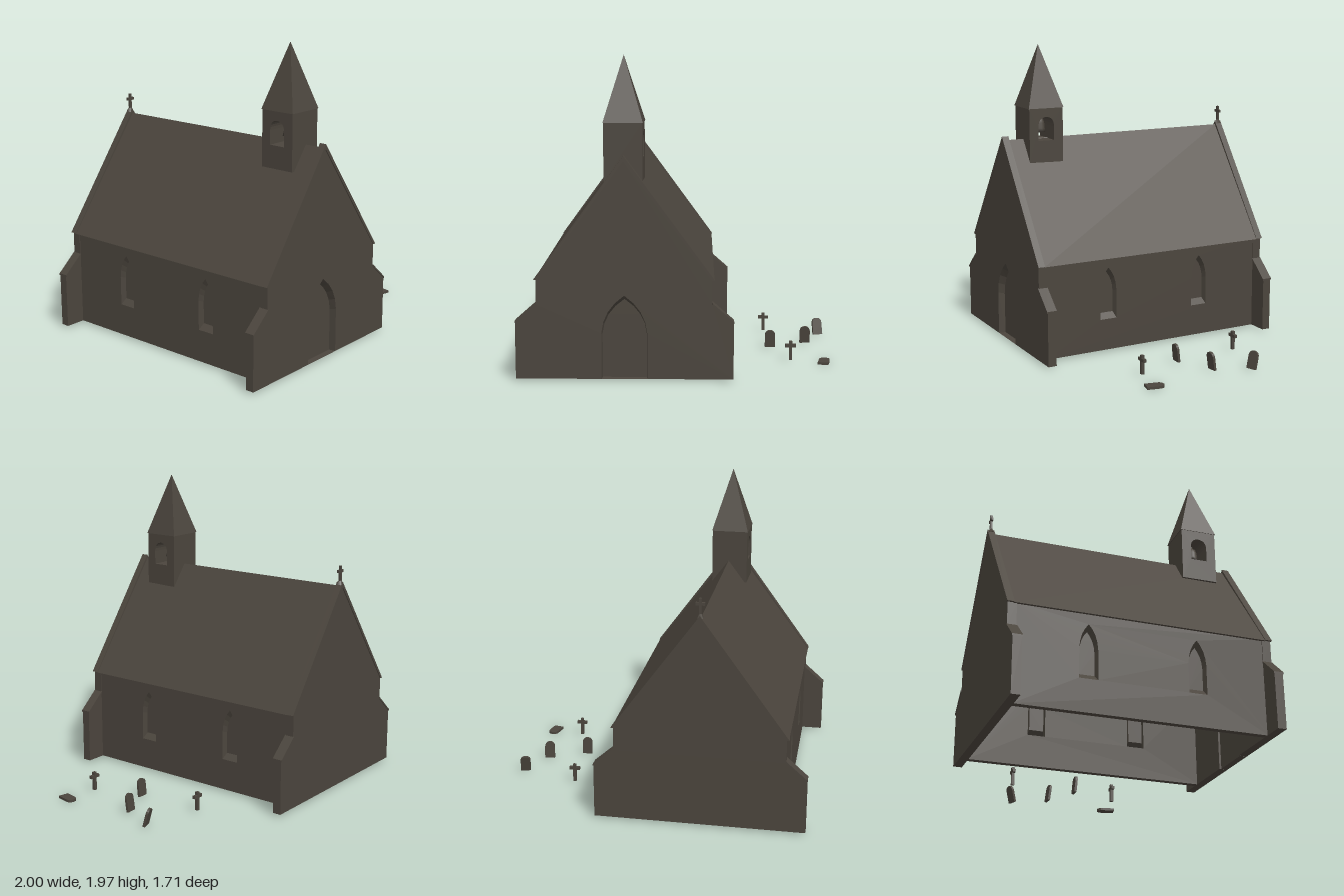
import * as THREE from 'three';

const V = (a) => a.map(([x, y]) => new THREE.Vector2(x, y));

// Arch outline, counter-clockwise from bottom left; k shapes the shoulder
function arch(w, y0, spring, peak, cx = 0, kx = 0.93, ky = 0.62, n = 4) {
  const right = new THREE.QuadraticBezierCurve(
    new THREE.Vector2(w, spring),
    new THREE.Vector2(w * kx, spring + (peak - spring) * ky),
    new THREE.Vector2(0, peak)).getPoints(n);
  const left = right.slice(0, -1).reverse().map((p) => new THREE.Vector2(-p.x, p.y));
  return [new THREE.Vector2(-w, y0), new THREE.Vector2(w, y0), ...right, ...left]
    .map((p) => new THREE.Vector2(p.x + cx, p.y));
}

function extrude(points, depth, z = 0, holes = []) {
  const s = new THREE.Shape(points);
  s.holes = holes.map((h) => new THREE.Path(h));
  return new THREE.ExtrudeGeometry(s, { depth, bevelEnabled: false, curveSegments: 6 }).translate(0, 0, z);
}

// Splayed reveal from an outer outline to a smaller inner one set back by depth
function reveal(outer, inner, depth) {
  const pos = [];
  outer.forEach((a, i) => {
    const j = (i + 1) % outer.length, b = outer[j], c = inner[i], d = inner[j];
    pos.push(a.x, a.y, 0, b.x, b.y, 0, d.x, d.y, -depth, a.x, a.y, 0, d.x, d.y, -depth, c.x, c.y, -depth);
  });
  const g = new THREE.BufferGeometry();
  g.setAttribute('position', new THREE.Float32BufferAttribute(pos, 3));
  g.computeVertexNormals();
  return g;
}

export function createModel() {
  const stone = new THREE.MeshStandardMaterial({ color: 0x4b453d, side: THREE.DoubleSide });
  stone.name = 'dark stone';

  const root = new THREE.Group();
  root.name = 'chapelAndGraveyard';
  const add = (parent, name, geo) => {
    const m = new THREE.Mesh(geo, stone);
    m.name = name;
    parent.add(m);
    return m;
  };
  const group = (parent, name) => {
    const g = new THREE.Group();
    g.name = name;
    parent.add(g);
    return g;
  };

  const chapel = group(root, 'chapel');
  chapel.position.set(-0.318, 0, 0);
  chapel.rotation.y = 0.018;

  // Gable walls with buttress shoulders; the front one has a door notch
  const base = 0.015;
  const doorOuter = arch(0.14, base, 0.3, 0.535);
  const doorInner = arch(0.135, base, 0.29, 0.505);
  const notch = [doorOuter[0], ...doorOuter.slice(2).reverse(), doorOuter[1]];
  const upper = V([[0.665, base], [0.665, 0.365], [0.535, 0.48], [0.535, 0.63], [0, 1.352],
    [-0.535, 0.63], [-0.535, 0.48], [-0.665, 0.365]]);
  const foot = V([[-0.665, base]]);
  add(chapel, 'frontGable', extrude([...foot, ...notch, ...upper], 0.056, 0.78));
  add(chapel, 'backGable', extrude([...foot, ...upper], 0.056, -0.836));
  add(chapel, 'doorReveal', reveal(doorOuter, doorInner, 0.045).translate(0, 0, 0.836));
  add(chapel, 'door', new THREE.ShapeGeometry(new THREE.Shape(doorInner)).translate(0, 0, 0.791));

  // Copings along the gables and caps on the buttresses
  const coping = V([[0.55, 0.63], [0, 1.385], [-0.55, 0.63], [-0.53, 0.63], [0, 1.352], [0.53, 0.63]]);
  for (const [side, z] of [['front', 0.797], ['back', -0.842]]) {
    add(chapel, side + 'Coping', extrude(coping, 0.045, z));
    for (const s of [1, -1]) {
      const cap = V([[0.667, 0.362], [0.667, 0.374], [0.533, 0.492], [0.533, 0.478]].map(([x, y]) => [x * s, y]));
      add(chapel, side + 'ButtressCap', extrude(cap, 0.066, side === 'front' ? 0.775 : -0.841));
    }
  }

  // Side walls with two recessed lancet windows each
  const wall = V([[-0.79, base], [0.79, base], [0.79, 0.64], [-0.79, 0.64]]);
  for (const [name, turn] of [['leftWall', Math.PI / 2], ['rightWall', -Math.PI / 2]]) {
    const side = group(chapel, name);
    side.rotation.y = turn;
    const outers = [-0.342, 0.342].map((c) => arch(0.058, 0.222, 0.41, 0.565, c));
    add(side, 'wallPanel', extrude(wall, 0.04, 0.49, outers));
    [-0.342, 0.342].forEach((c, i) => {
      const inner = arch(0.047, 0.258, 0.4, 0.53, c);
      add(side, 'windowReveal', reveal(outers[i], inner, 0.035).translate(0, 0, 0.53));
      add(side, 'windowPane', new THREE.ShapeGeometry(new THREE.Shape(inner)).translate(0, 0, 0.495));
    });
  }

  // Pitched roof
  add(chapel, 'roof', extrude(V([[0.547, 0.627], [0, 1.36], [-0.547, 0.627],
    [-0.525, 0.627], [0, 1.33], [0.525, 0.627]]), 1.6, -0.8));

  // Small cross standing on the back gable
  const finial = group(chapel, 'gableCross');
  finial.position.set(0, 1.37, -0.82);
  add(finial, 'crossFoot', new THREE.CylinderGeometry(0.009, 0.024, 0.03, 4).rotateY(Math.PI / 4).translate(0, 0.012, 0));
  add(finial, 'crossStem', new THREE.BoxGeometry(0.016, 0.11, 0.014).translate(0, 0.065, 0));
  add(finial, 'crossArms', new THREE.BoxGeometry(0.056, 0.018, 0.014).translate(0, 0.085, 0));

  // Bell turret with an opening from side to side
  const turret = group(root, 'bellTurret');
  turret.position.set(-0.316, 0, 0.573);
  const opening = arch(0.055, 1.355, 1.445, 1.51, 0, 1, 0.95, 6);
  add(turret, 'turretBody', extrude(V([[-0.118, 1.21], [0.118, 1.21], [0.118, 1.57], [-0.118, 1.57]]),
    0.238, -0.119, [opening]).rotateY(Math.PI / 2));
  const spire = new THREE.ConeGeometry(0.123 * Math.SQRT2, 0.408, 4, 1).toNonIndexed();
  spire.computeVertexNormals();
  add(turret, 'spire', spire.rotateY(Math.PI / 4).translate(0, 1.771, 0));
  add(turret, 'bell', new THREE.LatheGeometry(V([[0, 1.4], [0.043, 1.4], [0.037, 1.425], [0.034, 1.46],
    [0.026, 1.485], [0.008, 1.495], [0.008, 1.515]]), 12));

  // Cross-shaped grave markers
  for (const [x, z] of [[0.585, -0.39], [0.735, 0.36]]) {
    const marker = group(root, 'graveCross');
    marker.position.set(x, 0.012, z);
    add(marker, 'markerStem', new THREE.BoxGeometry(0.02, 0.122, 0.02).translate(0, 0.061, 0));
    add(marker, 'markerArms', new THREE.BoxGeometry(0.07, 0.02, 0.02).translate(0, 0.093, 0));
  }

  // Round-topped headstones: x, y, z, lean, yaw; the last lies flat
  const slab = extrude(arch(0.034, 0, 0.08, 0.116, 0, 1, 0.95, 5), 0.016, -0.008);
  for (const [x, y, z, lean, yaw] of [
    [0.615, 0.01, 0.048, 0.1, 0], [0.855, 0.01, -0.07, 0.14, 0.08],
    [0.962, 0.008, -0.29, -0.25, 0.33], [0.938, 0.01, 0.445, -Math.PI / 2, -0.2]]) {
    const h = add(root, 'headstone', slab);
    h.position.set(x, y, z);
    h.rotation.set(lean, yaw, 0, 'YXZ');
  }
  return root;
}
